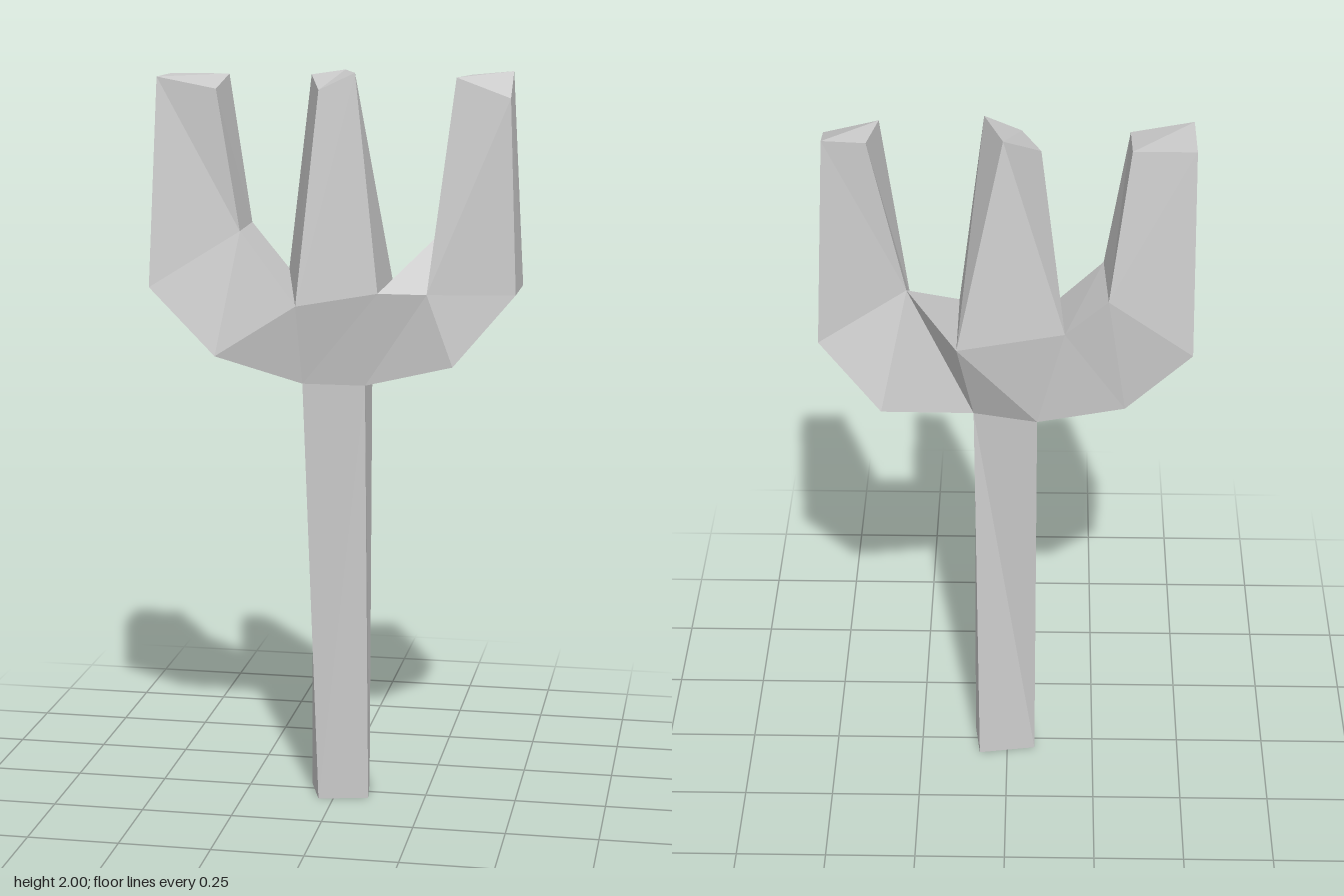
import * as THREE from 'three';

// Each outline station pairs a front corner with its back corner:
// [front x, y, z, back x, y, z], running anticlockwise seen from the front.
const stalkOutline = [
  [-0.04, 0, 0.08, -0.08, 0, -0.04],
  [0.095, 0, 0.05, 0.08, 0, -0.065],
  [0.09, 1.175, 0.09, 0.09, 1.175, -0.03],
  [-0.08, 1.175, 0.09, -0.08, 1.175, -0.07],
];

const headOutline = [
  // underside and outer side of the left arm
  [-0.08, 1.175, 0.09, -0.08, 1.175, -0.07],
  [0.09, 1.175, 0.09, 0.09, 1.175, -0.03],
  [0.33, 1.24, 0.135, 0.33, 1.24, -0.125],
  [0.49, 1.43, 0.1, 0.49, 1.43, -0.09],
  // left tip, inner side and valley floor
  [0.47, 1.94, 0.1, 0.46, 2.0, -0.065],
  [0.325, 1.99, 0.07, 0.35, 1.99, -0.055],
  [0.26, 1.43, 0.135, 0.26, 1.56, -0.04],
  [0.13, 1.43, 0.135, 0.13, 1.43, -0.125],
  // middle tip and second valley
  [0.06, 2.0, 0.08, 0.01, 2.0, -0.06],
  [-0.035, 1.955, 0.09, -0.085, 1.985, -0.08],
  [-0.09, 1.39, 0.135, -0.15, 1.46, -0.09],
  [-0.25, 1.58, 0.08, -0.26, 1.58, -0.125],
  // right tip and outer side of the right arm
  [-0.31, 1.955, 0.085, -0.31, 1.985, -0.08],
  [-0.47, 1.985, 0.085, -0.47, 1.985, -0.08],
  [-0.49, 1.43, 0.125, -0.48, 1.43, -0.14],
  [-0.31, 1.25, 0.135, -0.31, 1.25, -0.115],
];

// Facets of the head's front and back, as station numbers
const headPanels = [
  [11, 12, 13, 14], [15, 11, 14], [15, 10, 11], // right arm
  [15, 0, 10], [0, 7, 10], [0, 1, 7], [1, 6, 7], [1, 2, 6], // hub
  [10, 7, 8, 9], // middle prong
  [2, 3, 6], [6, 3, 4, 5], // left arm
];

// Solid with faceted front and back panels joined by a wall around the outline
function facetedSolid(name, outline, panels, openWall) {
  const n = outline.length;
  const index = [];
  for (const p of panels) {
    for (let k = 1; k < p.length - 1; k++) {
      const [a, b, c] = [p[0], p[k], p[k + 1]];
      index.push(2 * a, 2 * b, 2 * c, 2 * a + 1, 2 * c + 1, 2 * b + 1);
    }
  }
  for (let i = 0; i < n; i++) {
    if (i === openWall) continue; // hidden joint between stalk and head
    const f = 2 * i, g = 2 * ((i + 1) % n);
    index.push(f, f + 1, g, f + 1, g + 1, g);
  }
  const indexed = new THREE.BufferGeometry();
  indexed.setAttribute('position', new THREE.Float32BufferAttribute(outline.flat(), 3));
  indexed.setIndex(index);
  const geometry = indexed.toNonIndexed();
  geometry.computeVertexNormals();
  const material = new THREE.MeshStandardMaterial({ color: 0xcccccc, flatShading: true });
  const mesh = new THREE.Mesh(geometry, material);
  mesh.name = name;
  return mesh;
}

export function createModel() {
  const model = new THREE.Group();
  model.name = 'threeProngedFork';
  model.add(
    facetedSolid('stalk', stalkOutline, [[0, 1, 2, 3]], 2),
    facetedSolid('prongedHead', headOutline, headPanels, 0),
  );
  return model;
}
